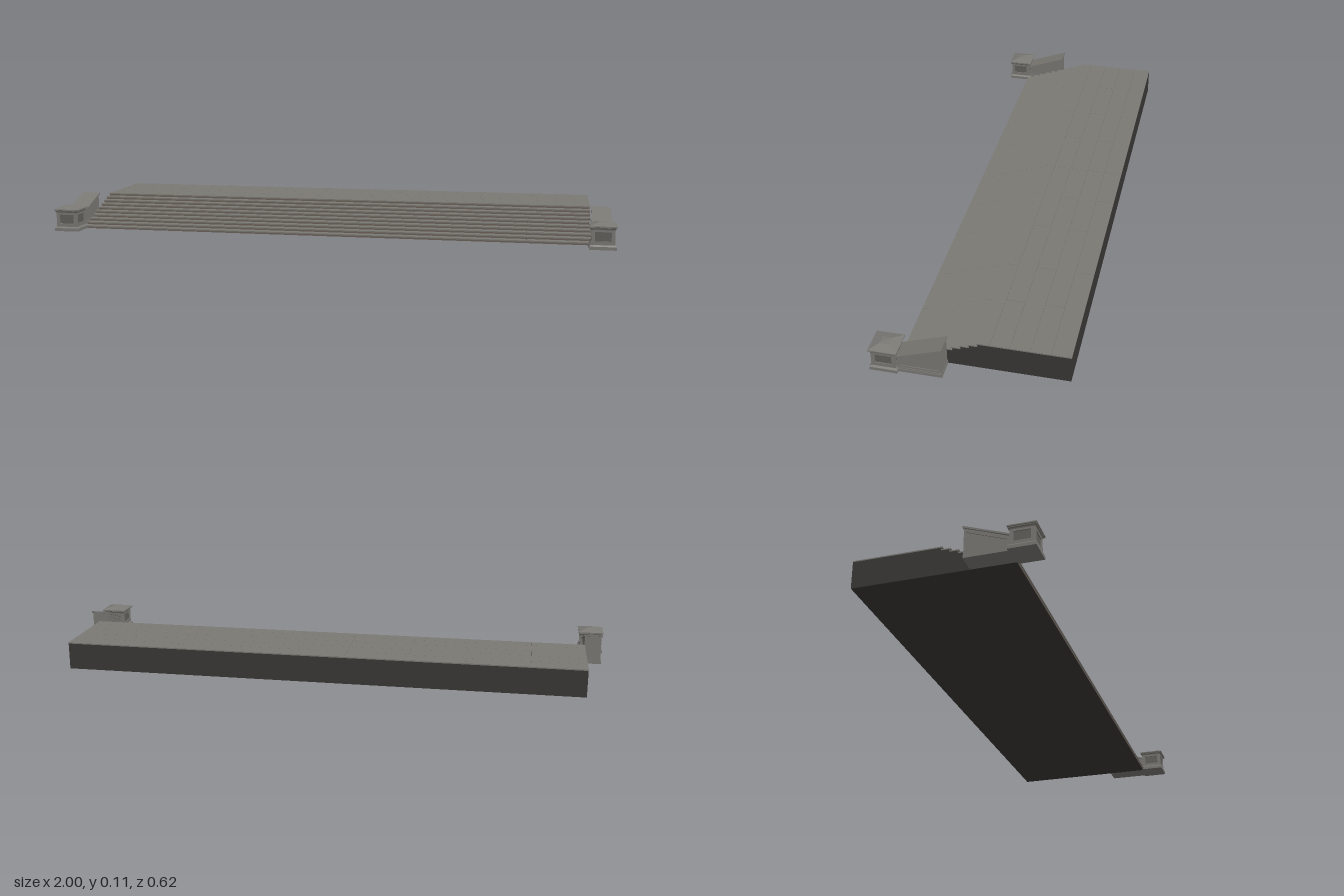
import * as THREE from 'three';
import { mergeGeometries } from 'three/addons/utils/BufferGeometryUtils.js';

const material = (color) => new THREE.MeshStandardMaterial({ color, flatShading: true });
const stone = material(0x7b7974);
const panelStone = material(0x62605c);
const riserStone = material(0x6b6158);
const core = material(0x3a3836);

const HALF = 0.92, TOP = 0.098, BACK = -0.31;
const STEPS = 10, RISE = 0.0098, TREAD = 0.027, FIRST = -0.012;
const SLAB = 0.004, NOSE = 0.003, GAP = 0.0008;

function mesh(name, geometry, mat = stone) {
  const m = new THREE.Mesh(geometry, mat);
  m.name = name;
  return m;
}

function boxBetween(x0, x1, y0, y1, z0, z1) {
  return new THREE.BoxGeometry(x1 - x0, y1 - y0, z1 - z0)
    .translate((x0 + x1) / 2, (y0 + y1) / 2, (z0 + z1) / 2);
}

const toPoints = (list) => list.map(([a, b]) => new THREE.Vector2(a, b));

// Extrudes a (z, y) side profile across x, centred on x = 0
function sideProfile(outline, width, hole) {
  const shape = new THREE.Shape(toPoints(outline));
  if (hole) shape.holes.push(new THREE.Path(toPoints(hole)));
  return new THREE.ExtrudeGeometry(shape, { depth: width, bevelEnabled: false })
    .translate(0, 0, -width / 2).rotateY(-Math.PI / 2);
}

// Square stack of [half width, y] rings
function squareLathe(profile) {
  const points = profile.map(([r, y]) => new THREE.Vector2(r * Math.SQRT2, y));
  return new THREE.LatheGeometry(points, 4).rotateY(Math.PI / 4).toNonIndexed();
}

// One row of paving slabs, with staggered joints
function slabRow(row, top, z0, z1) {
  const joints = row % 2 ? [-0.31, -0.09, 0.29, 0.7] : [-0.73, -0.51, -0.09, 0.1, 0.52];
  const xs = [-HALF, ...joints, HALF];
  return xs.slice(1).map((x, i) => boxBetween(
    xs[i] + (i ? GAP / 2 : 0), x - (x < HALF ? GAP / 2 : 0), top - SLAB, top, z0, z1));
}

function createStairs() {
  const group = new THREE.Group();
  group.name = 'stairs';
  const slabs = [], risers = [], outline = [[BACK, 0]];
  outline.push([BACK, TOP - SLAB]);

  // Landing paving behind the first riser
  const rows = [BACK, -0.247, -0.183, -0.118, -0.055, FIRST];
  for (let r = 0; r < 5; r++) {
    slabs.push(...slabRow(r, TOP, rows[r] + (r ? GAP : 0), rows[r + 1]));
  }
  // Treads with a small overhang above each riser
  for (let i = 0; i < STEPS; i++) {
    const top = TOP - RISE * i, front = FIRST + TREAD * i, face = front - NOSE;
    const bottom = i < STEPS - 1 ? top - RISE : 0;
    if (i) slabs.push(...slabRow(i, top, face - TREAD, front));
    risers.push(boxBetween(-HALF + 0.001, HALF - 0.001, bottom, top - SLAB, face - 0.002, face));
    outline.push([face - 0.002, top - SLAB]);
    outline.push([face - 0.002, i < STEPS - 1 ? bottom - SLAB : 0]);
  }
  group.add(mesh('stairCore', sideProfile(outline, HALF * 2 - 0.001), core));
  group.add(mesh('pavingSlabs', mergeGeometries(slabs)));
  group.add(mesh('risers', mergeGeometries(risers), riserStone));
  return group;
}

function createCheekWall() {
  const group = new THREE.Group();
  group.name = 'cheekWall';
  const panel = [[0.216, 0.022], [0.216, 0.043], [0.088, 0.09], [0.088, 0.022]];
  const wall = [[0.223, 0.012], [0.223, 0.053], [0.081, 0.105], [0.081, 0.012]];
  const cap = [[0.225, 0.053], [0.225, 0.059], [0.078, 0.112], [0.078, 0.1055]];
  const base = [[0.225, 0], [0.225, 0.011], [0.08, 0.011], [0.08, 0]];
  const plinthLip = [[0.224, 0.011], [0.224, 0.015], [0.0805, 0.015], [0.0805, 0.011]];
  group.add(mesh('wallFrame', sideProfile(wall, 0.06, panel)));
  group.add(mesh('wallPanel', sideProfile(panel, 0.055)));
  group.add(mesh('wallCap', sideProfile(cap, 0.068)));
  group.add(mesh('wallBase', sideProfile(base, 0.068)));
  group.add(mesh('wallBaseLip', sideProfile(plinthLip, 0.064)));
  return group;
}

function createPedestal() {
  const group = new THREE.Group();
  group.name = 'pedestal';
  group.position.z = 0.265;
  group.add(mesh('pedestalBase', squareLathe([
    [0, 0], [0.045, 0], [0.045, 0.011], [0.04, 0.016], [0, 0.016]])));

  // Shaft: recessed core behind four framed faces
  const half = 0.039, depth = 0.003, y0 = 0.015, y1 = 0.068;
  group.add(mesh('pedestalPanels', boxBetween(
    -half + depth, half - depth, y0, y1, -half + depth, half - depth), panelStone));
  for (let k = 0; k < 4; k++) {
    const w = k % 2 ? half : half - depth;
    const frame = new THREE.Shape(toPoints([[-w, y0], [w, y0], [w, y1], [-w, y1]]));
    frame.holes.push(new THREE.Path(toPoints(
      [[-0.027, 0.028], [-0.027, 0.06], [0.027, 0.06], [0.027, 0.028]])));
    const geometry = new THREE.ExtrudeGeometry(frame, { depth, bevelEnabled: false })
      .translate(0, 0, half - depth).rotateY(k * Math.PI / 2);
    group.add(mesh('pedestalFrame', geometry));
  }

  // Moulded cap with a shallow pyramid
  group.add(mesh('pedestalCap', squareLathe([
    [0, 0.067], [0.039, 0.067], [0.04, 0.07], [0.043, 0.073], [0.043, 0.075],
    [0.046, 0.076], [0.046, 0.08], [0.042, 0.081], [0.016, 0.089], [0, 0.091]])));
  return group;
}

export function createModel() {
  const model = new THREE.Group();
  model.name = 'stoneStaircase';
  model.add(createStairs());
  // Matching cheek wall and pedestal at each end
  for (const side of [1, -1]) {
    const end = new THREE.Group();
    end.name = side > 0 ? 'leftEnd' : 'rightEnd';
    end.position.x = side * 0.954;
    end.add(createCheekWall(), createPedestal());
    model.add(end);
  }
  return model;
}
